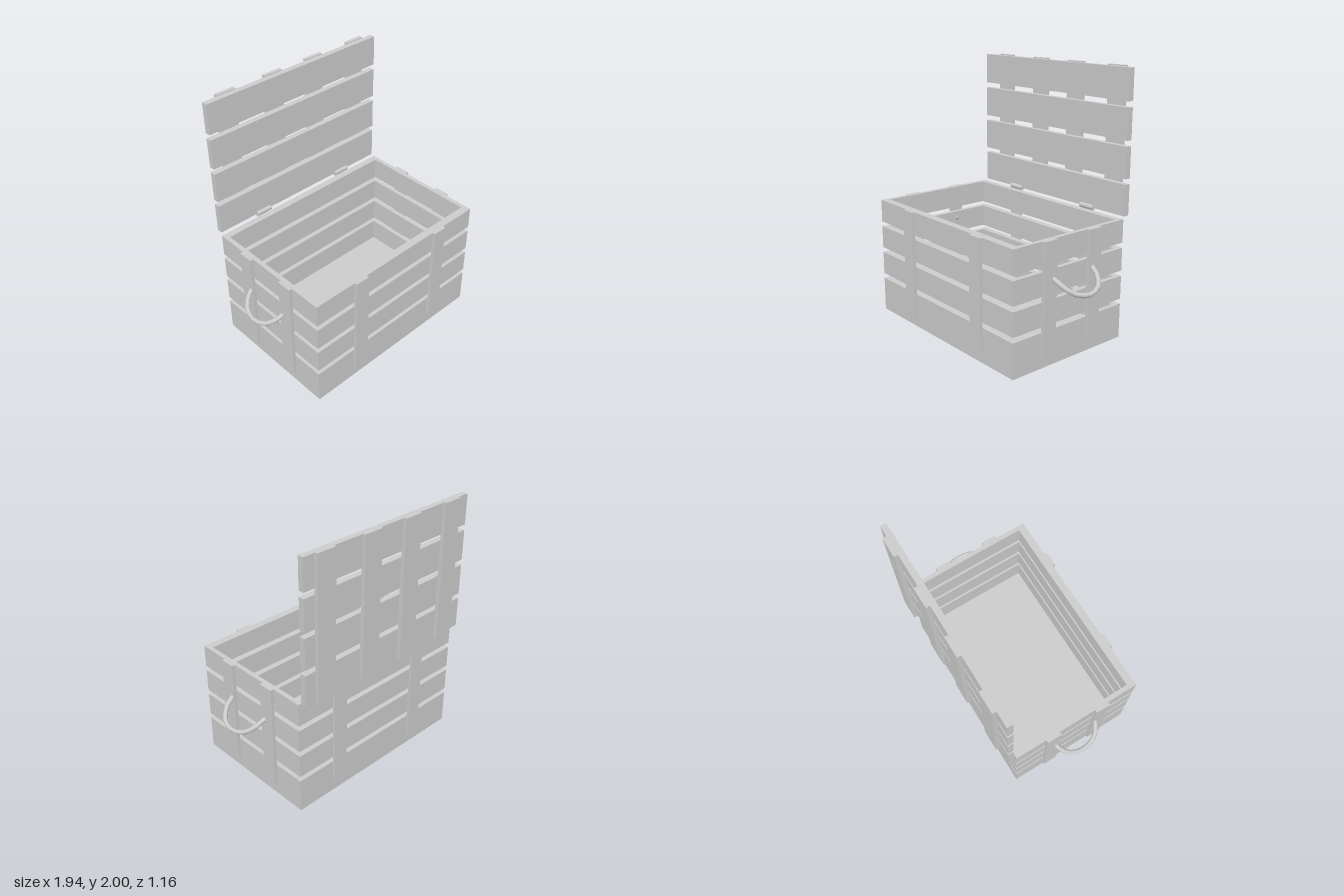
import * as THREE from 'three';

export function createModel() {
  const model = new THREE.Group();
  const mat = new THREE.MeshStandardMaterial({ color: 0xcccccc });

  const add = (parent, name, geometry) => {
    const mesh = new THREE.Mesh(geometry, mat);
    mesh.name = name;
    parent.add(mesh);
    return mesh;
  };
  // Box given by its limits along each axis
  const box = (parent, name, [x0, x1], [y0, y1], [z0, z1]) =>
    add(parent, name, new THREE.BoxGeometry(x1 - x0, y1 - y0, z1 - z0))
      .position.set((x0 + x1) / 2, (y0 + y1) / 2, (z0 + z1) / 2);
  const group = (name) => {
    const g = new THREE.Group();
    g.name = name;
    model.add(g);
    return g;
  };

  // Crate: solid floor and four rows of slats
  const crate = group('crate');
  box(crate, 'floor', [-0.81, 0.773], [0, 0.085], [-0.488, 0.558]);
  for (const y of [[0.085, 0.265], [0.305, 0.485], [0.525, 0.7], [0.74, 0.915]]) {
    box(crate, 'frontSlat', [-0.775, 0.738], y, [0.497, 0.558]);
    box(crate, 'backSlat', [-0.775, 0.738], y, [-0.488, -0.435]);
    box(crate, 'rightSlat', [-0.81, -0.775], y, [-0.488, 0.558]);
    box(crate, 'leftSlat', [0.738, 0.773], y, [-0.488, 0.558]);
  }

  // Upright battens on all four walls
  const battenY = [0.088, 0.915];
  for (const x of [[-0.463, -0.345], [0.338, 0.456]]) {
    box(crate, 'frontBatten', x, battenY, [0.558, 0.58]);
    box(crate, 'backBatten', x, battenY, [-0.506, -0.488]);
  }
  for (const z of [[0.19, 0.307], [-0.235, -0.117]]) {
    box(crate, 'rightBatten', [-0.835, -0.81], battenY, z);
    box(crate, 'leftBatten', [0.773, 0.798], battenY, z);
  }

  // Open lid: wide planks held by four straps behind
  const lid = group('lid');
  for (const y of [[0.93, 1.165], [1.205, 1.44], [1.483, 1.717], [1.76, 1.993]]) {
    box(lid, 'lidPlank', [-0.798, 0.763], y, [-0.55, -0.505]);
  }
  for (const x of [-0.602, -0.193, 0.187, 0.597]) {
    box(lid, 'lidStrap', [x - 0.078, x + 0.078], [0.928, 2], [-0.58, -0.55]);
  }

  // Hinge barrels
  for (const x of [-0.404, 0.397]) {
    const hinge = add(model, 'hinge', new THREE.CylinderGeometry(0.02, 0.02, 0.13, 12));
    hinge.rotation.z = Math.PI / 2;
    hinge.position.set(x, 0.932, -0.505);
  }

  // Drooping rope handles, one on each side
  const half = [[0.75, 0.655, 0.19], [0.8, 0.635, 0.185], [0.86, 0.6, 0.168],
    [0.915, 0.557, 0.125], [0.945, 0.535, 0.065]];
  for (const [side, name] of [[1, 'leftHandle'], [-1, 'rightHandle']]) {
    const at = (z) => ([x, y, d]) => new THREE.Vector3(side * x, y, 0.032 + z * d);
    const path = new THREE.CatmullRomCurve3([
      ...half.map(at(1)), new THREE.Vector3(side * 0.954, 0.527, 0.032),
      ...half.map(at(-1)).reverse()]);
    add(model, name, new THREE.TubeGeometry(path, 12, 0.018, 10));
  }
  return model;
}
